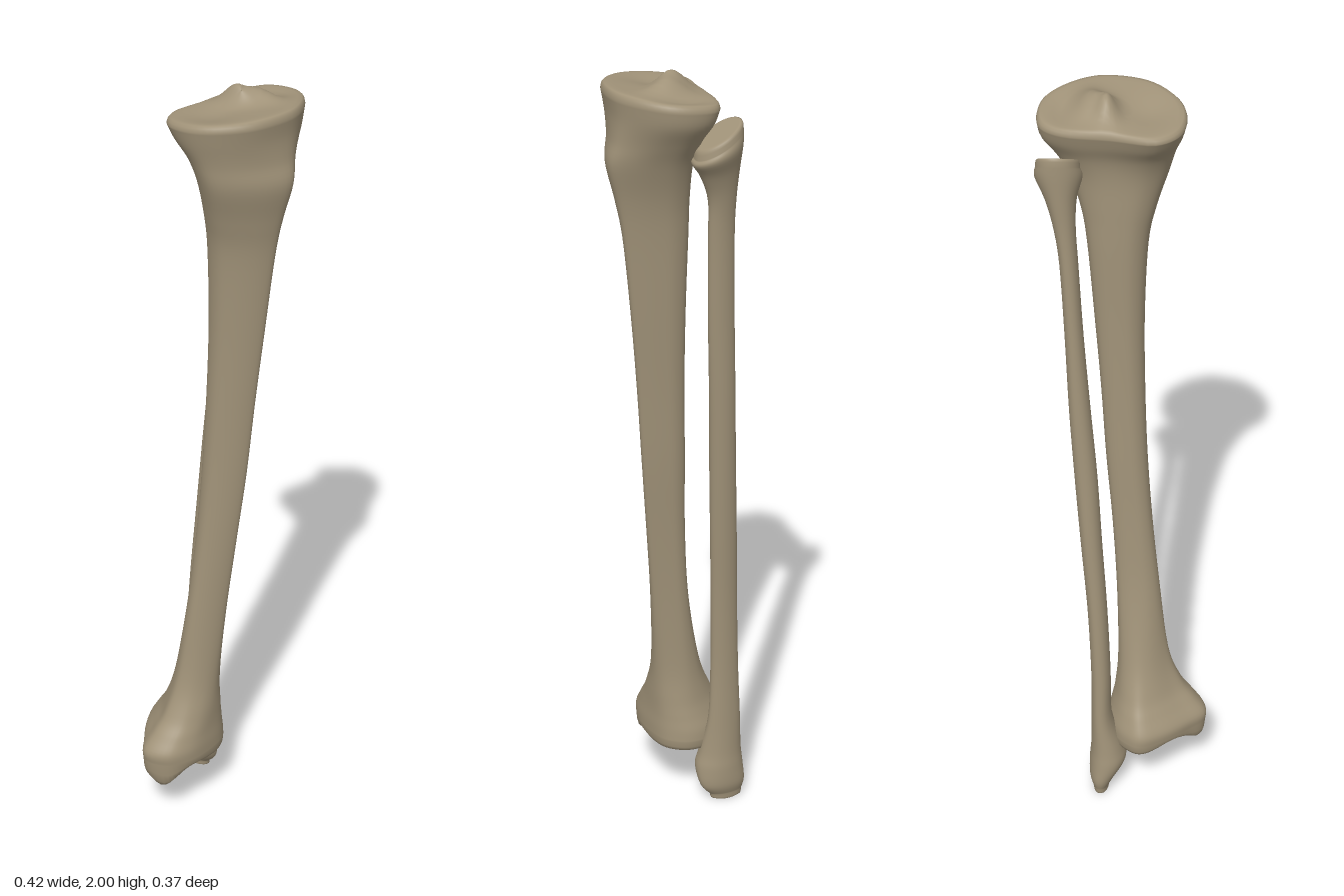
import * as THREE from 'three';

const SEG = 60;   // points around each cross-section
const STEPS = 5;  // rings between two listed sections

// Outlines in a -1..1 box, from the front (+z) round towards +x
const toPoints = (list) => list.map(([x, z]) => new THREE.Vector3(x, 0, z));
const outline = (list) => {
  const curve = new THREE.CatmullRomCurve3(toPoints(list), true, 'centripetal');
  return Array.from({ length: SEG }, (_, i) => curve.getPoint(i / SEG));
};
const ankleShape = outline([[0.1, 1], [0.63, 0.87], [0.93, 0.5], [1, 0.07], [0.86, -0.46], [0.63, -0.81],
  [0.33, -1], [-0.13, -0.77], [-0.66, -0.28], [-1, 0.12], [-0.85, 0.69], [-0.43, 0.96]]);
const shaftShape = outline([[0.3, 1], [0.58, 0.7], [0.85, 0.2], [1, -0.3], [0.88, -0.72], [0.5, -0.95],
  [0, -1], [-0.5, -0.92], [-0.87, -0.62], [-1, -0.12], [-0.72, 0.4], [-0.15, 0.87]]);
const kneeShape = outline([[0.14, 1], [0.54, 0.81], [0.89, 0.4], [1, -0.08], [0.93, -0.55], [0.65, -0.78],
  [0, -0.88], [-0.6, -1], [-0.89, -0.75], [-1, -0.2], [-0.88, 0.35], [-0.48, 0.85]]);
const slimShape = outline([[0.1, 1], [0.55, 0.82], [0.9, 0.4], [1, -0.1], [0.85, -0.6], [0.5, -0.92],
  [0, -1], [-0.5, -0.85], [-0.85, -0.5], [-1, 0], [-0.88, 0.5], [-0.5, 0.88]]);

// Smooth interpolation through the rows of a section table
function smoothRows(rows) {
  const out = [];
  const at = (i) => rows[Math.min(rows.length - 1, Math.max(0, i))];
  for (let i = 0; i < rows.length - 1; i++) {
    for (let s = 0; s < STEPS; s++) {
      const t = s / STEPS;
      out.push(rows[i].map((p1, c) => {
        const p0 = at(i - 1)[c], p2 = at(i + 1)[c], p3 = at(i + 2)[c];
        return p1 + 0.5 * t * (p2 - p0 + t * (2 * p0 - 5 * p1 + 4 * p2 - p3 + t * (3 * (p1 - p2) + p3 - p0)));
      }));
    }
  }
  out.push(rows[rows.length - 1]);
  return out;
}

// Row: y, xMin, xMax, zMin, zMax, shape (index into shapes, may be fractional), tilt along z
function makeRing([y, x0, x1, z0, z1, shape, tilt], shapes) {
  const a = Math.min(shapes.length - 1, Math.max(0, Math.floor(shape)));
  const b = Math.min(shapes.length - 1, a + 1);
  const f = THREE.MathUtils.clamp(shape - a, 0, 1);
  const hz = (z1 - z0) / 2;
  return shapes[a].map((p, i) => {
    const q = p.clone().lerp(shapes[b][i], f);
    return new THREE.Vector3((x0 + x1) / 2 + q.x * (x1 - x0) / 2, y + tilt * q.z * hz, (z0 + z1) / 2 + q.z * hz);
  });
}

// Shrinking rings that close an end on a height field
function capRings(ring, height) {
  const c = ring.reduce((sum, p) => sum.add(p), new THREE.Vector3()).divideScalar(ring.length);
  const scales = [[0.985, 0.55], [0.95, 0.9], [0.88, 1], [0.78, 1], [0.66, 1], [0.54, 1],
    [0.42, 1], [0.3, 1], [0.2, 1], [0.1, 1], [0.01, 1]];
  return scales.map(([k, blend]) => ring.map((p) => {
    const x = c.x + (p.x - c.x) * k, z = c.z + (p.z - c.z) * k;
    return new THREE.Vector3(x, THREE.MathUtils.lerp(p.y, height(x, z), blend), z);
  }));
}

function loftBone(rows, shapes, bottom, top) {
  const body = smoothRows(rows).map((row) => makeRing(row, shapes));
  const rings = [...capRings(body[0], bottom).reverse(), ...body, ...capRings(body[body.length - 1], top)];
  const index = [];
  for (let r = 0; r < rings.length - 1; r++) {
    for (let i = 0; i < SEG; i++) {
      const j = (i + 1) % SEG;
      const a = r * SEG + i, b = r * SEG + j, c = a + SEG, d = b + SEG;
      index.push(a, b, c, b, d, c);
    }
  }
  const geometry = new THREE.BufferGeometry().setFromPoints(rings.flat());
  geometry.setIndex(index);
  geometry.computeVertexNormals();
  return geometry;
}

const bump = (x, z, cx, cz, rx, rz) => Math.exp(-(((x - cx) / rx) ** 2) - ((z - cz) / rz) ** 2);

export function createModel() {
  const group = new THREE.Group();
  group.name = 'lowerLegBones';
  const bone = new THREE.MeshStandardMaterial({ color: 0xa19379 });
  bone.name = 'bone';

  // Shin bone: flared ankle end, three-sided shaft, broad knee plateau
  const shinRows = [
    [0.18, -0.21, 0.05, -0.184, 0.034, 0, 0],
    [0.21, -0.21, 0.047, -0.182, 0.034, 0, 0],
    [0.25, -0.18, 0.037, -0.16, 0.031, 0, 0],
    [0.3, -0.145, 0.028, -0.13, 0.03, 0.15, 0],
    [0.4, -0.11, 0.021, -0.092, 0.03, 0.5, 0],
    [0.6, -0.085, 0.025, -0.053, 0.045, 0.9, 0],
    [0.8, -0.065, 0.036, -0.036, 0.065, 1, 0],
    [1.0, -0.051, 0.052, -0.028, 0.085, 1, 0],
    [1.2, -0.044, 0.064, -0.021, 0.102, 1, 0],
    [1.4, -0.042, 0.079, -0.018, 0.122, 1, 0],
    [1.6, -0.05, 0.095, -0.02, 0.145, 1, 0],
    [1.7, -0.07, 0.11, -0.02, 0.165, 1, 0],
    [1.79, -0.098, 0.138, -0.022, 0.187, 1.1, 0],
    [1.85, -0.113, 0.17, -0.036, 0.178, 1.45, 0],
    [1.9, -0.129, 0.2, -0.062, 0.175, 1.85, 0.05],
    [1.94, -0.138, 0.208, -0.078, 0.18, 2, 0.1],
  ];
  // Ankle joint hollow with the inner ankle knob hanging below it
  const ankleFace = (x, z) => 0.152 + 0.03 * bump(x, z, -0.11, -0.07, 0.045, 0.09)
    - 0.05 * bump(x, z, -0.18, -0.03, 0.032, 0.05);
  // Two shallow dishes with a raised ridge between them
  const kneeFace = (x, z) => 1.953 + 0.12 * (z - 0.02)
    + 0.042 * bump(x, z, 0.045, 0.02, 0.025, 0.045) + 0.03 * bump(x, z, 0.085, 0.05, 0.03, 0.05)
    - 0.01 * bump(x, z, -0.05, 0.03, 0.05, 0.06) - 0.008 * bump(x, z, 0.15, 0.04, 0.03, 0.06);
  const shin = new THREE.Mesh(loftBone(shinRows, [ankleShape, shaftShape, kneeShape], ankleFace, kneeFace), bone);
  shin.name = 'shinBone';

  // Calf bone: slim shaft, pointed outer ankle and a tilted head
  const calfRows = [
    [0.02, 0.042, 0.085, -0.175, -0.085, 0, 0],
    [0.05, 0.025, 0.094, -0.183, -0.06, 0, 0],
    [0.1, -0.002, 0.094, -0.182, -0.053, 0, 0],
    [0.15, 0.006, 0.09, -0.176, -0.064, 0, 0],
    [0.25, 0.035, 0.088, -0.168, -0.08, 0, 0],
    [0.4, 0.038, 0.088, -0.16, -0.085, 0, 0],
    [0.6, 0.046, 0.096, -0.15, -0.08, 0, 0],
    [0.8, 0.058, 0.111, -0.139, -0.07, 0, 0],
    [1.0, 0.069, 0.125, -0.127, -0.06, 0, 0],
    [1.2, 0.085, 0.137, -0.116, -0.05, 0, 0],
    [1.4, 0.1, 0.145, -0.106, -0.039, 0, 0],
    [1.6, 0.111, 0.155, -0.098, -0.032, 0, 0],
    [1.7, 0.116, 0.168, -0.096, -0.027, 0, -0.05],
    [1.77, 0.113, 0.187, -0.098, -0.004, 0, -0.2],
    [1.82, 0.1, 0.21, -0.1, 0.02, 0, -0.4],
    [1.845, 0.105, 0.208, -0.1, 0.015, 0, -0.6],
  ];
  const calf = new THREE.Mesh(
    loftBone(calfRows, [slimShape], (x, z) => 0.004 + 0.1 * Math.max(0, z + 0.12), (x, z) => 1.865 - 0.6 * (z + 0.04)),
    bone);
  calf.name = 'calfBone';

  group.add(shin, calf);
  return group;
}
